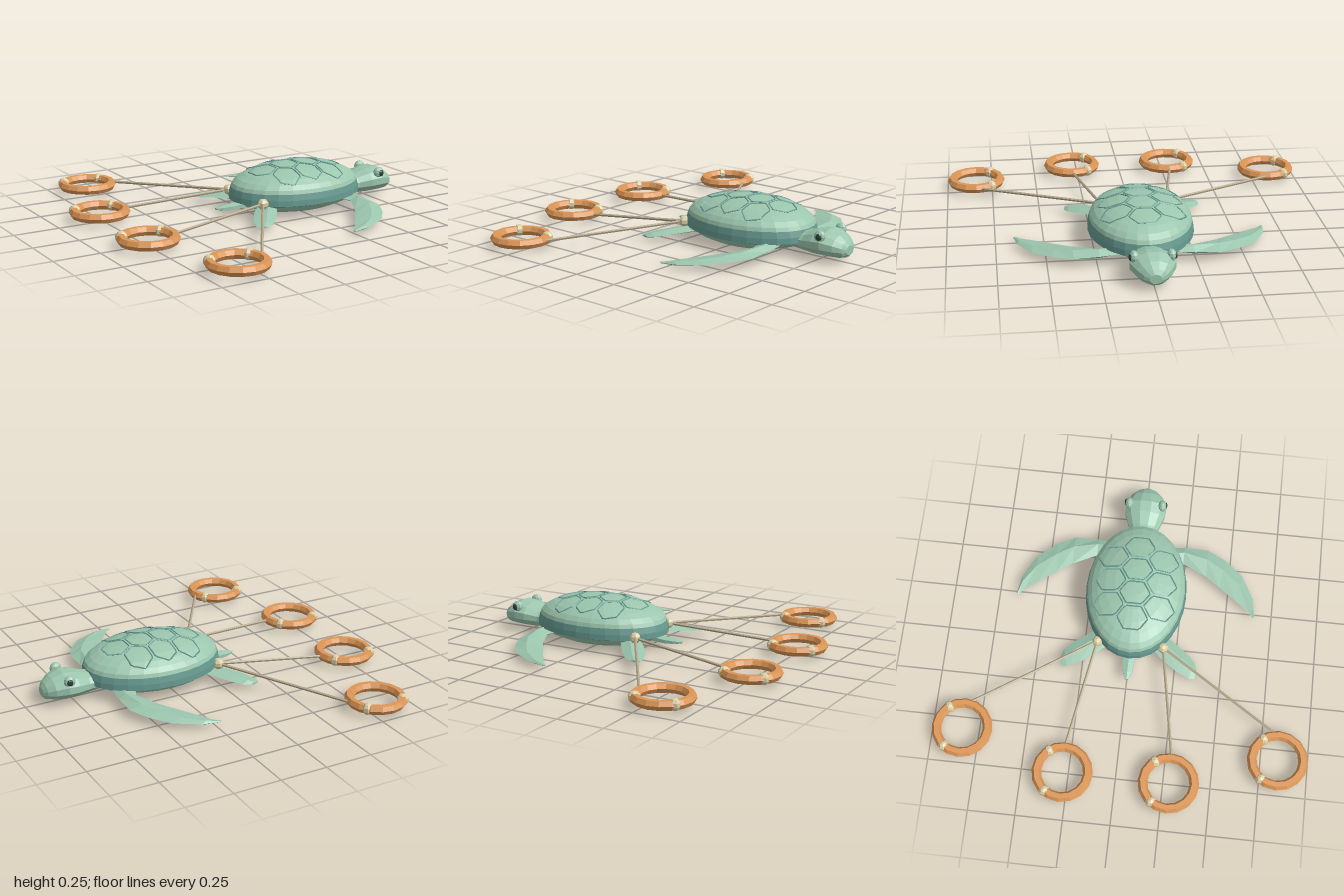
import * as THREE from 'three';

const mat = (name, color) => {
  const m = new THREE.MeshStandardMaterial({ color, flatShading: true });
  m.name = name;
  return m;
};

export function createModel() {
  const skin = mat('sea green', 0x9cc6ae);
  const teal = mat('teal', 0x669a90);
  const wood = mat('orange', 0xdc9656);
  const cord = mat('cord', 0xb4a88c);
  const beige = mat('beige', 0xdccfa6);
  const dark = mat('dark', 0x2f403b);

  const model = new THREE.Group();
  const add = (name, geo, material, parent = model) => {
    const m = new THREE.Mesh(geo, material);
    m.name = name;
    parent.add(m);
    return m;
  };

  // Closed loft through equal-sized rings of points; winding follows the volume sign
  const loft = (rings) => {
    const n = rings[0].length, tris = [];
    const R = rings.map((r) => r.map((p) => new THREE.Vector3(...p)));
    for (let i = 0; i < R.length - 1; i++) {
      for (let j = 0; j < n; j++) {
        const k = (j + 1) % n;
        tris.push([R[i][j], R[i][k], R[i + 1][k]], [R[i][j], R[i + 1][k], R[i + 1][j]]);
      }
    }
    const last = R[R.length - 1];
    for (let j = 1; j < n - 1; j++) {
      tris.push([R[0][0], R[0][j + 1], R[0][j]], [last[0], last[j], last[j + 1]]);
    }
    const mid = R[1][0];
    let vol = 0;
    for (const [a, b, c] of tris) {
      vol += a.clone().sub(mid).dot(b.clone().sub(mid).cross(c.clone().sub(mid)));
    }
    const pos = tris.flatMap((t) => (vol < 0 ? [t[0], t[2], t[1]] : t).flatMap((p) => p.toArray()));
    const g = new THREE.BufferGeometry();
    g.setAttribute('position', new THREE.Float32BufferAttribute(pos, 3));
    g.computeVertexNormals();
    return g;
  };

  // Round sections along x: [x, centre y, half height, half width]
  const tubeBody = (sections, sides) => loft(sections.map(([x, y, h, w]) =>
    Array.from({ length: sides }, (_, j) => {
      const a = ((j + 0.5) / sides) * Math.PI * 2;
      return [x, y + Math.sin(a) * h, Math.cos(a) * w];
    })));

  // Flipper sections: [lead x, lead z, trail x, trail z, y, half thickness]
  const flipper = (sections, side) => loft(sections.map(([lx, lz, tx, tz, y, t]) => {
    const mx = lx * 0.6 + tx * 0.4, mz = lz * 0.6 + tz * 0.4;
    return [[lx, y, lz * side], [mx, y + t, mz * side], [tx, y, tz * side], [mx, y - t, mz * side]];
  }));

  // Shell: elliptical lathes for dome, rim and belly
  const CX = 0.285, RX = 0.372, RZ = 0.266, BASE = 0.138, H = 0.113, FULL = 1.15;
  const shell = new THREE.Group();
  shell.name = 'shell';
  model.add(shell);
  const lathe = (name, pts, material) => {
    const g = new THREE.LatheGeometry(pts.map((p) => new THREE.Vector2(...p)), 28);
    g.scale(1, 1, RZ / RX);
    g.translate(CX, 0, 0);
    return add(name, g, material, shell);
  };
  const arc = Array.from({ length: 8 }, (_, i) => {
    const a = (i / 7) * Math.PI / 2;
    return [i < 7 ? RX * Math.cos(a) : 0, BASE + H * Math.sin(a) ** FULL];
  });
  lathe('shellDome', arc, skin);
  lathe('shellRim', [[0.35, 0.066], [0.384, 0.075], [0.382, 0.105], [RX, BASE]], teal);
  lathe('belly', [[0, 0.003], [0.15, 0.006], [0.25, 0.019], [0.32, 0.042], [0.36, 0.07]], skin);

  // Hexagonal scute seams draped over the dome
  const onDome = (x, z) => {
    const k = 1 - ((x - CX) / RX) ** 2 - (z / RZ) ** 2;
    return new THREE.Vector3(x, BASE + H * Math.max(k, 0) ** (FULL / 2), z);
  };
  const scute = (cx, cz) => {
    const path = new THREE.CurvePath();
    const corner = (i) => {
      const a = (i / 6) * Math.PI * 2 + Math.PI / 6;
      return [cx + 0.07 * Math.cos(a), cz + 0.083 * Math.sin(a)];
    };
    for (let i = 0; i < 6; i++) {
      const [ax, az] = corner(i), [bx, bz] = corner(i + 1);
      for (let s = 0; s < 2; s++) {
        const p = (t) => onDome(ax + (bx - ax) * t, az + (bz - az) * t);
        path.add(new THREE.LineCurve3(p(s / 2), p((s + 1) / 2)));
      }
    }
    add('scuteSeam', new THREE.TubeGeometry(path, 24, 0.004, 4, true), teal, shell);
  };
  [0.08, 0.217, 0.353, 0.49].forEach((x) => scute(x, 0));
  for (const s of [-1, 1]) [0.148, 0.285, 0.422].forEach((x) => scute(x, s * 0.137));

  // Head and tail
  add('head', tubeBody([
    [0.58, 0.08, 0.045, 0.08], [0.67, 0.08, 0.055, 0.085], [0.74, 0.09, 0.068, 0.112],
    [0.80, 0.095, 0.072, 0.118], [0.86, 0.085, 0.06, 0.09], [0.895, 0.075, 0.043, 0.058],
    [0.91, 0.07, 0.025, 0.03],
  ], 12), skin);
  add('tail', tubeBody([
    [-0.04, 0.055, 0.02, 0.035], [-0.12, 0.05, 0.018, 0.036],
    [-0.17, 0.05, 0.014, 0.028], [-0.21, 0.052, 0.005, 0.01],
  ], 6), skin);

  // Floating hoop with two lashings
  const ring = (name, x, z) => {
    const g = new THREE.Group();
    g.name = name;
    g.position.set(x, 0.048, z);
    model.add(g);
    const hoop = new THREE.TorusGeometry(0.136, 0.026, 6, 16);
    hoop.rotateX(Math.PI / 2);
    add('hoop', hoop, wood, g);
    for (const s of [-1, 1]) {
      const lash = add('lashing', new THREE.SphereGeometry(0.034, 7, 5), beige, g);
      lash.position.set(s * 0.108, 0.002, -0.082);
      lash.rotation.y = s * 0.65;
      lash.scale.set(0.95, 0.95, 0.8);
    }
  };
  const rope = (a, b) => {
    const path = new THREE.LineCurve3(new THREE.Vector3(...a), new THREE.Vector3(...b));
    add('towRope', new THREE.TubeGeometry(path, 1, 0.008, 5), cord);
  };

  // Paired parts on both sides
  for (const s of [-1, 1]) {
    add('frontFlipper', flipper([
      [0.575, 0.13, 0.44, 0.13, 0.06, 0.022],
      [0.588, 0.24, 0.49, 0.24, 0.056, 0.024],
      [0.588, 0.37, 0.43, 0.37, 0.05, 0.022],
      [0.54, 0.47, 0.375, 0.45, 0.044, 0.018],
      [0.46, 0.57, 0.305, 0.55, 0.037, 0.014],
      [0.33, 0.64, 0.255, 0.62, 0.031, 0.01],
      [0.235, 0.658, 0.222, 0.645, 0.027, 0.004],
    ], s), skin);
    add('rearFlipper', flipper([
      [0.1, 0.13, -0.02, 0.11, 0.06, 0.018],
      [0.035, 0.22, -0.08, 0.18, 0.052, 0.018],
      [-0.02, 0.3, -0.135, 0.26, 0.043, 0.016],
      [-0.07, 0.355, -0.165, 0.33, 0.035, 0.012],
      [-0.11, 0.37, -0.165, 0.36, 0.03, 0.006],
    ], s), skin);

    // Eye: lid bump with a dark pupil
    const lid = add('eyeLid', new THREE.SphereGeometry(0.032, 10, 6), skin);
    lid.position.set(0.79, 0.14, s * 0.092);
    lid.scale.z = 0.75;
    const pupil = add('pupil', new THREE.SphereGeometry(0.018, 8, 6), dark);
    pupil.position.set(0.794, 0.14, s * 0.109);
    pupil.scale.z = 0.6;

    // Tow knot, ropes and hoops
    const knot = [-0.025, 0.093, s * 0.178];
    add('towKnot', new THREE.SphereGeometry(0.03, 7, 5), beige).position.set(...knot);
    rope(knot, [-0.42, 0.05, s * 0.805]);
    rope(knot, [-0.6, 0.05, s * 0.28]);
    ring('outerRing', -0.57, s * 0.838);
    ring('innerRing', -0.753, s * 0.28);
  }
  return model;
}
